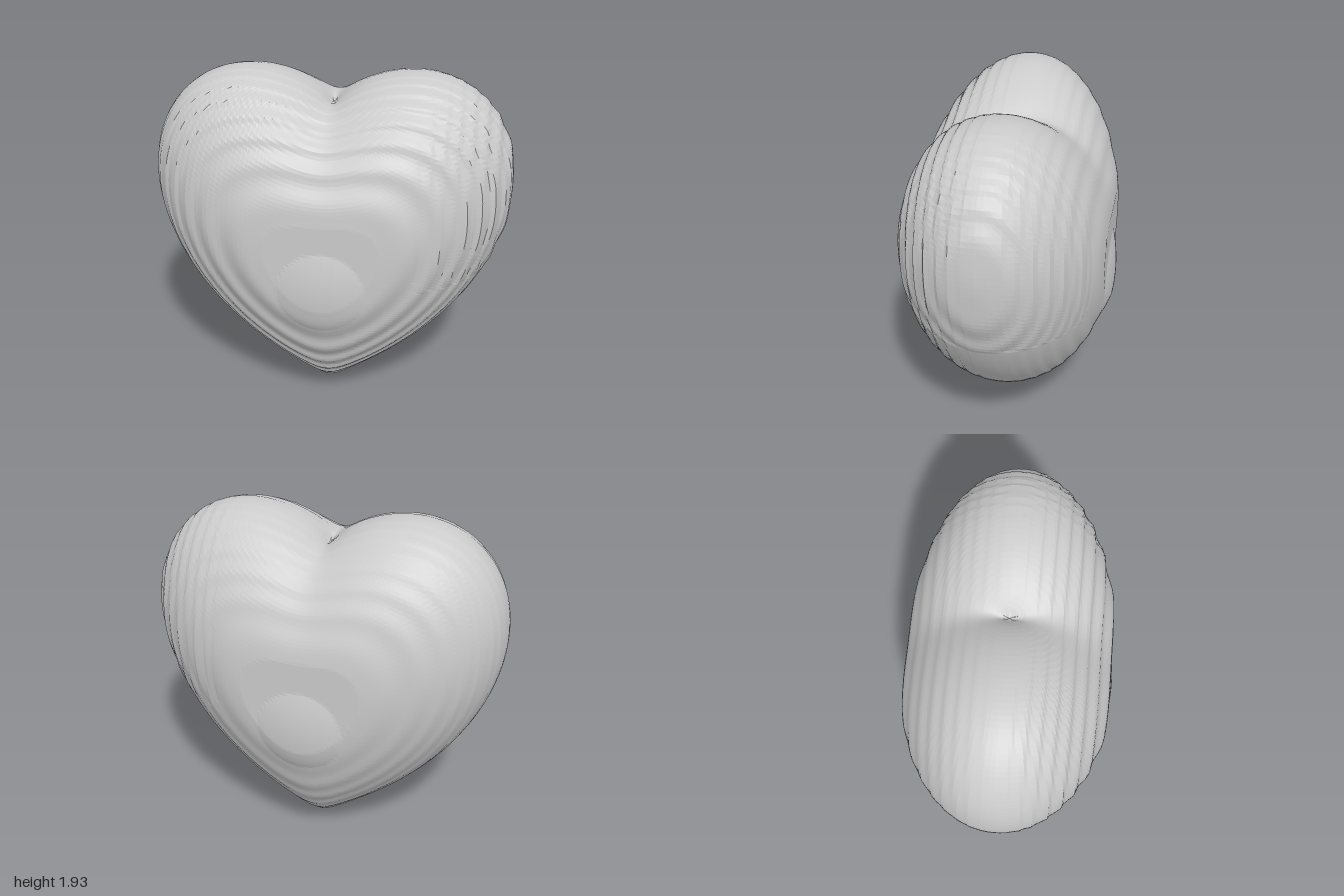
import * as THREE from 'three';

const SCALE = 0.878; // field units to model units
const LIFT = 0.84;   // height of the heart's centre
const STEP = 0.07;   // spacing of the terraces

// Distance from the centre to the heart surface
// (x2 + 9/4 z2 + y2 - 1)^3 = x2 y3 + 9/80 z2 y3 along a unit direction.
function heartRadius(d) {
  const q = d.x * d.x + d.y * d.y + 2.25 * d.z * d.z;
  const c = Math.cbrt((d.x * d.x + 0.1125 * d.z * d.z) * d.y ** 3);
  let lo = 0, hi = 3;
  for (let i = 0; i < 40; i++) {
    const r = (lo + hi) / 2;
    if (q * r * r - c * Math.pow(r, 5 / 3) - 1 > 0) hi = r;
    else lo = r;
  }
  return (lo + hi) / 2;
}

// Pulls a coordinate towards the nearest terrace level
const terrace = (v, amount) => v - amount * Math.sin((2 * Math.PI * v) / STEP);

function heartGeometry() {
  const geo = new THREE.SphereGeometry(1, 192, 128);
  const pos = geo.attributes.position;
  const p = new THREE.Vector3();
  for (let i = 0; i < pos.count; i++) {
    p.fromBufferAttribute(pos, i).normalize();
    p.multiplyScalar(heartRadius(p) * SCALE);
    p.y += LIFT;

    // stepped relief: strongest on the front and the upper left lobe
    const side = Math.sign(p.z);
    let z = terrace(Math.abs(p.z), p.z > 0 ? 0.007 : 0.003);
    if (p.x > 0.5 && p.y > LIFT) p.x = terrace(p.x, 0.005);

    // flat panel with a shallow dome in the middle of the front and back
    const r2 = (p.x / 0.24) ** 2 + ((p.y - 0.85) / 0.24) ** 2;
    z = Math.min(z, 0.565) + 0.033 * Math.max(0, 1 - r2);
    p.z = side * z;

    // blunt tip and filled cleft
    p.y = Math.max(p.y, 0);
    if (p.y > 1.6 && Math.abs(p.x) < 0.05 && Math.abs(p.z) < 0.1) p.y = Math.max(p.y, 1.74);
    pos.setXYZ(i, p.x, p.y, p.z);
  }
  geo.computeVertexNormals();
  return geo;
}

export function createModel() {
  const group = new THREE.Group();
  group.name = 'heart';
  const material = new THREE.MeshStandardMaterial({ color: 0xcccccc, flatShading: true });
  const body = new THREE.Mesh(heartGeometry(), material);
  body.name = 'heartBody';
  group.add(body);
  return group;
}
